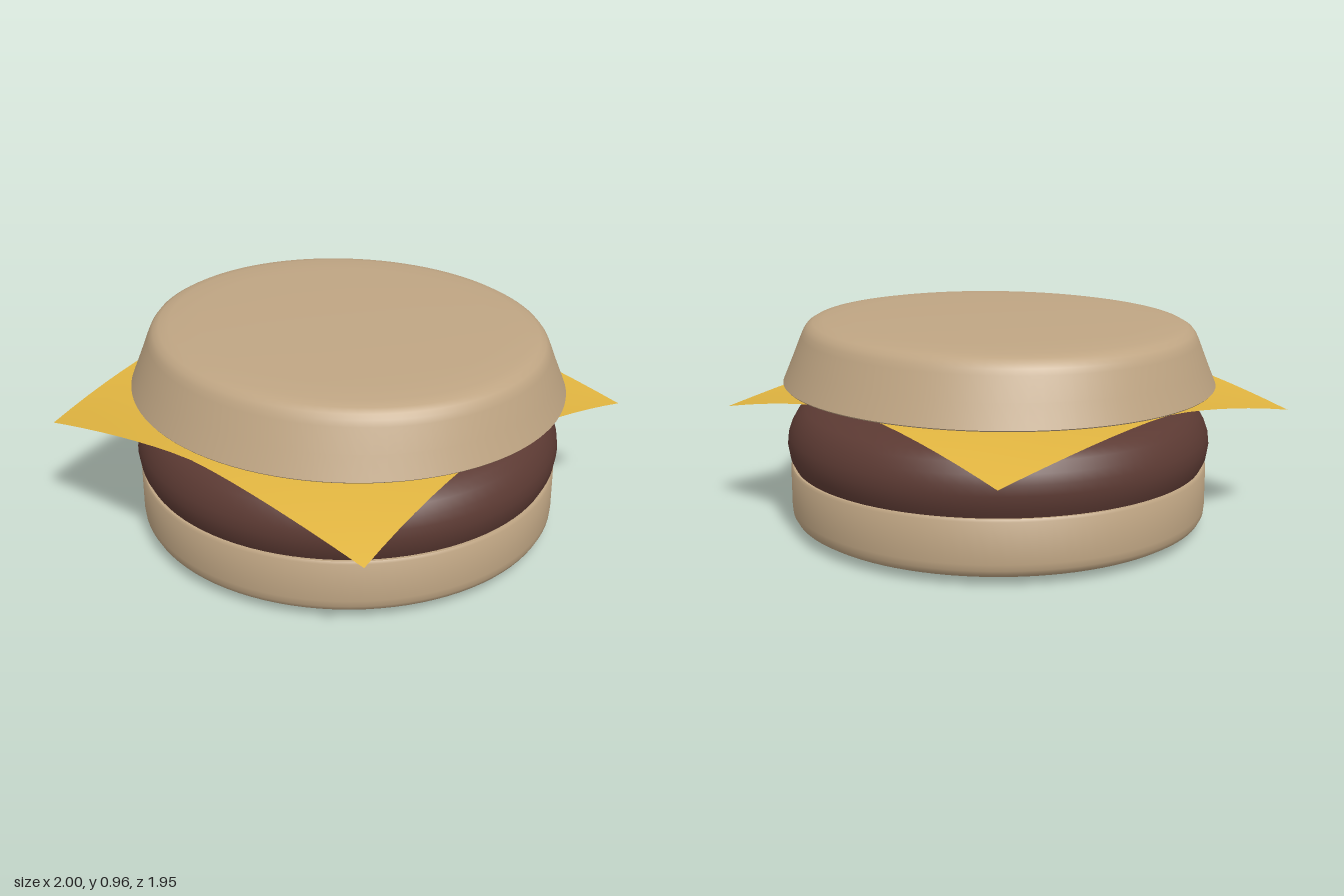
import * as THREE from 'three';
import { toCreasedNormals } from 'three/addons/utils/BufferGeometryUtils.js';

const material = (color, side = THREE.FrontSide) =>
  new THREE.MeshStandardMaterial({ color, side });

// Turned slab from [radius, height] points, listed from the bottom centre to the top centre.
// depthAt(y) gives the front-to-back squash at each height.
function slab(name, points, mat, depthAt, x, z) {
  const lathe = new THREE.LatheGeometry(points.map(([r, y]) => new THREE.Vector2(r, y)), 96);
  const pos = lathe.attributes.position;
  for (let i = 0; i < pos.count; i++) pos.setZ(i, pos.getZ(i) * depthAt(pos.getY(i)));
  const mesh = new THREE.Mesh(toCreasedNormals(lathe, 0.7), mat);
  mesh.name = name;
  mesh.position.set(x, 0, z);
  return mesh;
}

// Thin square slice lying nearly flat, with drooping corners
function cheeseSlice(mat) {
  const geo = new THREE.PlaneGeometry(2, 2, 16, 16).rotateX(-Math.PI / 2);
  const pos = geo.attributes.position;
  for (let i = 0; i < pos.count; i++) {
    const u = pos.getX(i), v = pos.getZ(i);
    const droop = Math.pow(Math.abs(u * v), 1.5);
    pos.setXYZ(i,
      0.916 * u - 0.045 + 0.052 * v * v,
      0.65 - 0.14 * droop,
      0.918 * v + 0.052 - 0.012 * u * u);
  }
  geo.computeVertexNormals();
  const mesh = new THREE.Mesh(geo, mat);
  mesh.name = 'cheeseSlice';
  return mesh;
}

export function createModel() {
  const group = new THREE.Group();
  group.name = 'burger';
  const bread = material(0xbfa583);

  // Bottom bun: upright wall, rounded lower rim, slightly domed base
  group.add(slab('bottomBun', [
    [0, 0], [0.5, 0.006], [0.78, 0.014], [0.87, 0.023], [0.915, 0.035], [0.94, 0.05],
    [0.952, 0.072], [0.955, 0.1], [0.955, 0.28], [0.948, 0.291], [0, 0.291],
  ], bread, () => 0.997, 0.01, -0.01));

  // Patty: bulging side and shallow domed top
  group.add(slab('patty', [
    [0, 0.28], [0.93, 0.28], [0.955, 0.33], [0.965, 0.39], [0.96, 0.435], [0.946, 0.475],
    [0.92, 0.52], [0.885, 0.55], [0.83, 0.573], [0.72, 0.594], [0.5, 0.617],
    [0.25, 0.63], [0, 0.634],
  ], material(0x5c3a33), () => 0.998, 0.01, -0.01));

  group.add(cheeseSlice(material(0xe0b440, THREE.DoubleSide)));

  // Top bun: sloping wall, soft shoulder, nearly flat crown
  group.add(slab('topBun', [
    [0, 0.663], [0.995, 0.663], [1, 0.668], [0.965, 0.77], [0.932, 0.87], [0.922, 0.895],
    [0.907, 0.915], [0.88, 0.93], [0.83, 0.939], [0.7, 0.946], [0.4, 0.953], [0, 0.956],
  ], bread, y => 0.96 - 0.04 * THREE.MathUtils.clamp((y - 0.66) / 0.25, 0, 1), 0, -0.02));

  return group;
}
